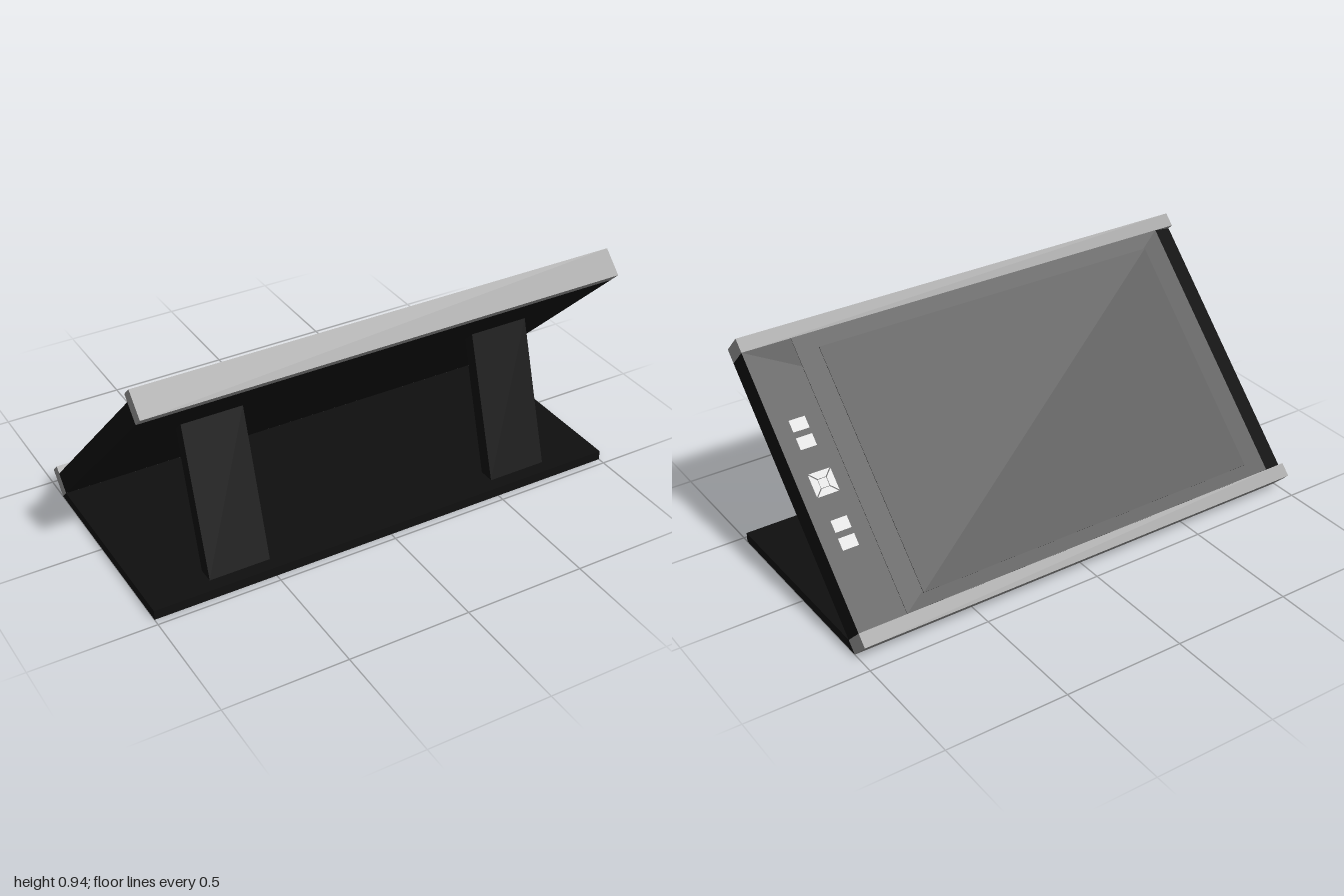
import * as THREE from 'three';

const paint = (color) => new THREE.MeshStandardMaterial({ color });
const black = paint(0x0f0f0f);
const bezelGrey = paint(0x222222);
const capGrey = paint(0x8f8f8f);
const buttonGrey = paint(0xcccccc);

function add(parent, name, geometry, material, x = 0, y = 0, z = 0) {
  const mesh = new THREE.Mesh(geometry, material);
  mesh.name = name;
  mesh.position.set(x, y, z);
  parent.add(mesh);
  return mesh;
}

function prism(points, depth) {
  const shape = new THREE.Shape(points.map(([a, b]) => new THREE.Vector2(a, b)));
  return new THREE.ExtrudeGeometry(shape, { depth, bevelEnabled: false }).translate(0, 0, -depth / 2);
}

// Side profile given as (z, y), extruded along x
const sideProfile = (points, width) => prism(points, width).rotateY(-Math.PI / 2);

export function createModel() {
  const model = new THREE.Group();
  model.name = 'displayOnStand';

  // Flat base, its back end mitred against the slab
  add(model, 'base', sideProfile([[0.47, 0], [0.47, 0.04], [-0.35, 0.04], [-0.39, 0]], 2), black);

  // Two slanted legs
  for (const side of [-1, 1]) {
    const leg = sideProfile([[0.415, 0.04], [0.35, 0.04], [0.188, 0.578], [0.233, 0.623]], 0.25);
    add(model, side > 0 ? 'leftLeg' : 'rightLeg', leg, black, side * 0.625);
  }

  // Slab tilted 45 degrees: local y is the screen normal, local z runs up the slope
  const slab = new THREE.Group();
  slab.name = 'slab';
  slab.position.y = 0.47;
  slab.rotation.x = -Math.PI / 4;
  model.add(slab);

  const half = 0.0566, length = 1.216, cap = 0.057;
  const body = [[-1, -half], [1, -half], [1, half], [-0.91, half], [-1, half - 0.03]];
  add(slab, 'body', prism(body, length - 2 * cap), black);
  for (const end of [-1, 1]) {
    add(slab, end > 0 ? 'upperCap' : 'lowerCap', new THREE.BoxGeometry(2, 2 * half, cap),
      capGrey, 0, 0, end * (length - cap) / 2);
  }

  // Bezel and screen
  add(slab, 'bezel', new THREE.BoxGeometry(1.71, 0.004, length - 2 * cap), bezelGrey, -0.055, half);
  add(slab, 'screen', new THREE.BoxGeometry(1.53, 0.004, 0.99), black, -0.055, half + 0.002, -0.007);

  // Small buttons above and below the pad
  for (const z of [-0.233, -0.163, 0.163, 0.233]) {
    add(slab, 'button', new THREE.BoxGeometry(0.066, 0.008, 0.047), buttonGrey, 0.902, half, z);
  }

  // Direction pad split into four wedges around a centre key
  const pad = new THREE.Group();
  pad.name = 'directionPad';
  pad.position.set(0.902, half, 0);
  slab.add(pad);
  for (let i = 0; i < 4; i++) {
    const wedge = prism([[-0.043, 0.046], [0.043, 0.046], [0.016, 0.019], [-0.016, 0.019]], 0.01);
    wedge.rotateX(-Math.PI / 2).rotateY(i * Math.PI / 2);
    add(pad, 'padWedge', wedge, buttonGrey);
  }
  add(pad, 'padCentre', new THREE.BoxGeometry(0.034, 0.008, 0.034), buttonGrey);
  return model;
}
